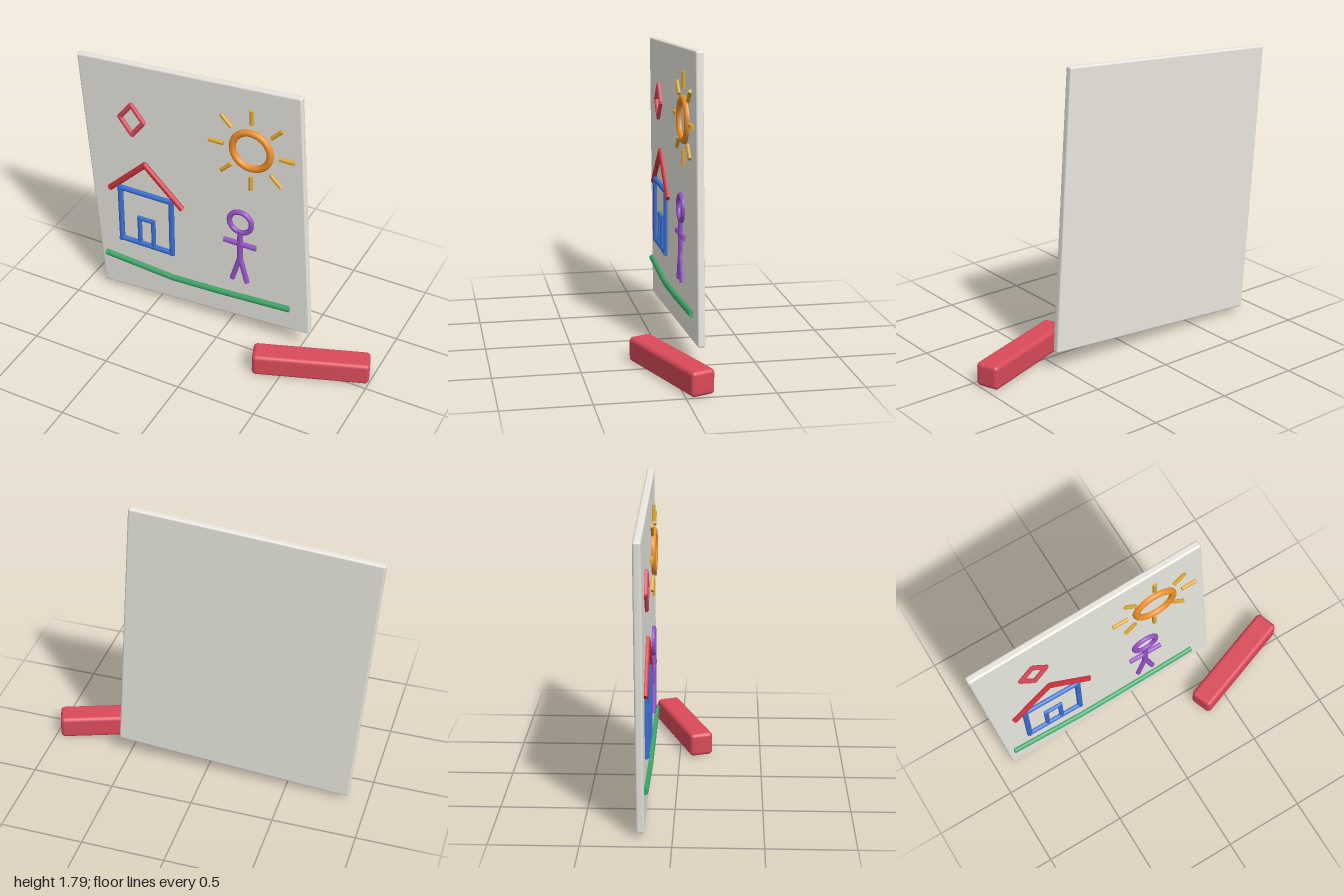
import * as THREE from 'three';
import { RoundedBoxGeometry } from 'three/addons/geometries/RoundedBoxGeometry.js';

const Z = -0.15; // depth at which the drawn strokes sit on the board face

const paint = (color) => new THREE.MeshStandardMaterial({ color });

function add(parent, name, geometry, material) {
  const mesh = new THREE.Mesh(geometry, material);
  mesh.name = name;
  parent.add(mesh);
  return mesh;
}

// Straight round stroke between two points, overshooting each end by `extra`
function stroke(parent, name, [x1, y1], [x2, y2], r, material, extra = 0) {
  const length = Math.hypot(x2 - x1, y2 - y1) + extra * 2;
  const mesh = add(parent, name, new THREE.CylinderGeometry(r, r, length, 16), material);
  mesh.position.set((x1 + x2) / 2, (y1 + y2) / 2, Z);
  mesh.rotation.z = Math.atan2(y2 - y1, x2 - x1) - Math.PI / 2;
}

// Chain of strokes through a list of points
function polyline(parent, name, points, r, material, extra = 0) {
  for (let i = 0; i < points.length - 1; i++) {
    stroke(parent, name, points[i], points[i + 1], r, material, extra);
  }
}

function ring(parent, name, x, y, radius, tube, material) {
  add(parent, name, new THREE.TorusGeometry(radius, tube, 16, 48), material).position.set(x, y, Z);
}

function section(parent, name) {
  const group = new THREE.Group();
  group.name = name;
  parent.add(group);
  return group;
}

export function createModel() {
  const model = new THREE.Group();
  model.name = 'drawingBoard';

  // Tilted board
  const board = add(model, 'board', new RoundedBoxGeometry(1.447, 1.667, 0.045, 3, 0.012), paint(0xe8e6de));
  board.position.set(-0.222, 0.905, -0.178);
  board.rotation.z = 0.0693;

  // Rounded block lying in front of the board
  const block = add(model, 'block', new RoundedBoxGeometry(0.706, 0.145, 0.146, 4, 0.025), paint(0xd94a5a));
  block.position.set(0.65, 0.0725, 0.018);
  block.rotation.y = THREE.MathUtils.degToRad(20);

  // House: walls, door and roof
  const house = section(model, 'house');
  const blue = paint(0x3a6fd0);
  polyline(house, 'wall', [[-0.74, 0.425], [-0.74, 0.813], [-0.385, 0.813], [-0.385, 0.425], [-0.74, 0.425]], 0.0175, blue, 0.014);
  polyline(house, 'doorFrame', [[-0.611, 0.425], [-0.611, 0.618], [-0.515, 0.618], [-0.515, 0.425]], 0.0145, blue, 0.012);
  polyline(house, 'roof', [[-0.805, 0.794], [-0.56, 1.033], [-0.315, 0.794]], 0.019, paint(0xcc3340), 0.01);

  // Kite
  const kite = [[-0.64, 1.437], [-0.56, 1.335], [-0.64, 1.23], [-0.72, 1.335], [-0.64, 1.437]];
  polyline(section(model, 'kite'), 'kiteEdge', kite, 0.015, paint(0xd94a5a), 0.006);

  // Sun with eight rays
  const sun = section(model, 'sun');
  const [sx, sy] = [0.146, 1.357];
  ring(sun, 'sunDisc', sx, sy, 0.12, 0.0215, paint(0xee8f2a));
  const yellow = paint(0xe0aa30);
  for (let i = 0; i < 8; i++) {
    const c = Math.cos((i * Math.PI) / 4);
    const s = Math.sin((i * Math.PI) / 4);
    stroke(sun, 'sunRay', [sx + c * 0.178, sy + s * 0.178], [sx + c * 0.273, sy + s * 0.273], 0.0125, yellow);
  }

  // Stick figure
  const figure = section(model, 'figure');
  const purple = paint(0x9552c4);
  ring(figure, 'head', 0.083, 0.825, 0.073, 0.0165, purple);
  stroke(figure, 'body', [0.083, 0.765], [0.083, 0.545], 0.018, purple);
  stroke(figure, 'arms', [-0.025, 0.665], [0.19, 0.665], 0.017, purple);
  for (const side of [-1, 1]) {
    stroke(figure, 'leg', [0.083, 0.56], [0.083 + side * 0.05, 0.384], 0.0165, purple);
  }

  // Ground line
  const ground = [[-0.86, 0.265], [-0.385, 0.23], [-0.06, 0.245], [0.417, 0.28]];
  polyline(section(model, 'groundLine'), 'groundStroke', ground, 0.02, paint(0x3da566), 0.003);

  return model;
}
